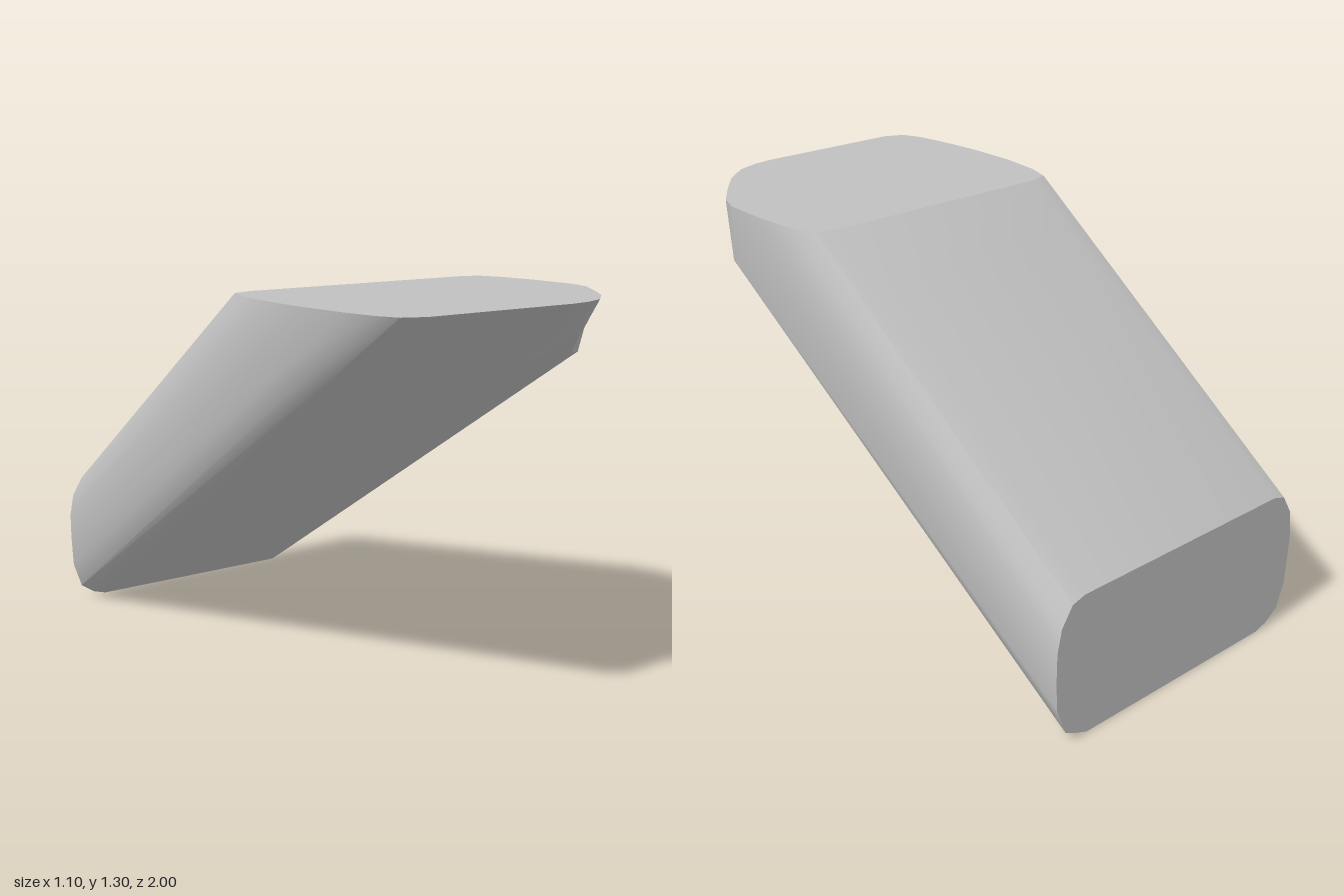
import * as THREE from 'three';
import { toCreasedNormals } from 'three/addons/utils/BufferGeometryUtils.js';

// Each strand runs along the bar: [x, y] on the back cut, [x, z] on the top cut,
// and optionally [x, y, z] where the clipped corner begins.
const BACK_Z = -1, TOP_Y = 1.3;
const strands = [
  // underside
  [[-0.40, 0], [-0.41, 1]],
  [[0.13, 0], [0.13, 1]],
  [[0.34, 0], [0.20, 0.99], [0.30, 1.22, 0.87]],
  [[0.40, 0], [0.28, 0.96], [0.40, 1.14, 0.753]],
  // clipped corner
  [[0.45, 0.02], [0.37, 0.88], [0.46, 1.09, 0.675]],
  [[0.49, 0.04], [0.45, 0.775], [0.505, 1.09, 0.66]],
  [[0.53, 0.14], [0.525, 0.665], [0.537, 1.10, 0.62]],
  // right side and upper corner
  [[0.535, 0.25], [0.547, 0.59]],
  [[0.535, 0.34], [0.547, 0.42]],
  [[0.52, 0.42], [0.53, 0.27]],
  [[0.48, 0.485], [0.495, 0.18]],
  [[0.43, 0.5], [0.43, 0.16]],
  // left side, going down
  [[-0.43, 0.5], [-0.43, 0.16]],
  [[-0.48, 0.485], [-0.50, 0.18]],
  [[-0.52, 0.42], [-0.53, 0.27]],
  [[-0.535, 0.34], [-0.548, 0.42]],
  [[-0.535, 0.25], [-0.548, 0.60]],
  [[-0.53, 0.14], [-0.53, 0.79]],
  [[-0.50, 0.05], [-0.51, 0.90]],
  [[-0.45, 0.015], [-0.48, 0.97]],
];

function geometryFrom(points) {
  return new THREE.BufferGeometry().setFromPoints(points);
}

// Skin between successive rings
function loft(rings) {
  const points = [];
  for (let r = 0; r < rings.length - 1; r++) {
    const near = rings[r], far = rings[r + 1];
    near.forEach((a, i) => {
      const j = (i + 1) % near.length;
      points.push(a, near[j], far[j], a, far[j], far[i]);
    });
  }
  return toCreasedNormals(geometryFrom(points), 0.5);
}

// Flat fan closing one end
function cap(ring, flip) {
  const centre = new THREE.Vector3();
  ring.forEach(p => centre.addScaledVector(p, 1 / ring.length));
  const points = [];
  ring.forEach((p, i) => {
    const q = ring[(i + 1) % ring.length];
    points.push(centre, ...(flip ? [q, p] : [p, q]));
  });
  const geometry = geometryFrom(points);
  geometry.computeVertexNormals();
  return geometry;
}

export function createModel() {
  const group = new THREE.Group();
  group.name = 'slantedBar';
  const grey = new THREE.MeshStandardMaterial({ color: 0xc0c0c0 });
  grey.name = 'light grey';

  const back = strands.map(([b]) => new THREE.Vector3(b[0], b[1], BACK_Z));
  const top = strands.map(([, t]) => new THREE.Vector3(t[0], TOP_Y, t[1]));
  const middle = strands.map(([, , m], i) =>
    m ? new THREE.Vector3(...m) : back[i].clone().lerp(top[i], 0.84));

  const add = (name, geometry) => {
    const mesh = new THREE.Mesh(geometry, grey);
    mesh.name = name;
    group.add(mesh);
  };
  add('barSides', loft([back, middle, top]));
  add('topFace', cap(top, false));
  add('backFace', cap(back, true));
  return group;
}
